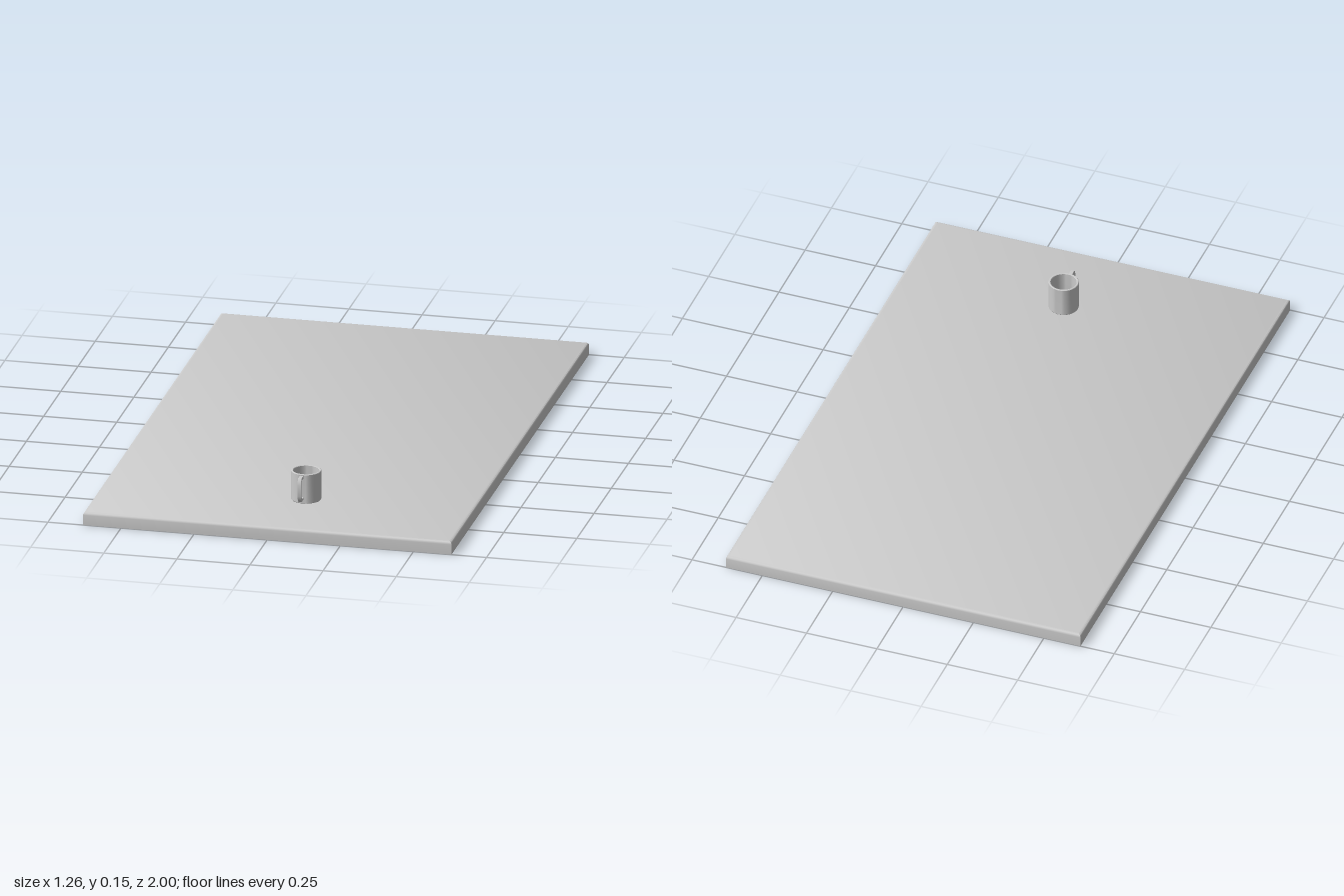
import * as THREE from 'three';
import { toCreasedNormals } from 'three/addons/utils/BufferGeometryUtils.js';

const material = new THREE.MeshStandardMaterial({ color: 0xcccccc, side: THREE.DoubleSide });

function part(name, geometry, parent) {
  const mesh = new THREE.Mesh(geometry, material);
  mesh.name = name;
  parent.add(mesh);
  return mesh;
}

// Slab with square lower edges and rounded upper edges
function slabGeometry(width, height, depth, radius, steps) {
  const geometry = new THREE.BoxGeometry(width, 1, depth, 1, steps + 1, 1);
  const pos = geometry.attributes.position;
  for (let i = 0; i < pos.count; i++) {
    const level = Math.round((pos.getY(i) + 0.5) * (steps + 1));
    const angle = (Math.max(level - 1, 0) / steps) * Math.PI / 2;
    const inset = radius * (1 - Math.cos(angle));
    const y = level === 0 ? 0 : height - radius + radius * Math.sin(angle);
    const x = pos.getX(i), z = pos.getZ(i);
    pos.setXYZ(i, x - Math.sign(x) * inset, y, z - Math.sign(z) * inset);
  }
  return toCreasedNormals(geometry, 0.6);
}

const points = (list) => list.map(([x, y]) => new THREE.Vector2(x, y));

export function createModel() {
  const model = new THREE.Group();

  // Table top
  const top = 0.045;
  part('tableTop', slabGeometry(1.26, top, 2, 0.01, 4), model);

  // Mug standing near the front edge
  const mug = new THREE.Group();
  mug.name = 'mug';
  mug.position.set(0.063, top, 0.7);
  model.add(mug);

  // Hollow cup: outer wall, rim, inner wall and floor
  const profile = points([
    [0, 0], [0.049, 0], [0.0505, 0.002], [0.0505, 0.101], [0.049, 0.1025],
    [0.045, 0.1025], [0.0435, 0.101], [0.0435, 0.01], [0.04, 0.006], [0, 0.006],
  ]);
  part('cup', toCreasedNormals(new THREE.LatheGeometry(profile, 32), 0.6), mug);

  // Handle: flat D-shaped loop, drawn as (z, y) and turned to face +z
  const outline = points([
    [0.045, 0.014], [0.073, 0.014], [0.08, 0.021], [0.085, 0.036],
    [0.085, 0.076], [0.081, 0.091], [0.074, 0.098], [0.045, 0.098],
  ]);
  const opening = points([
    [0.046, 0.023], [0.069, 0.023], [0.073, 0.028], [0.077, 0.039],
    [0.077, 0.073], [0.074, 0.085], [0.069, 0.089], [0.046, 0.089],
  ]);
  const shape = new THREE.Shape(outline);
  shape.holes.push(new THREE.Path(opening));
  const loop = new THREE.ExtrudeGeometry(shape, { depth: 0.012, bevelEnabled: false });
  loop.translate(0, 0, -0.006);
  loop.rotateY(-Math.PI / 2);
  part('handle', toCreasedNormals(loop, 0.7), mug).position.x = -0.004;

  return model;
}
